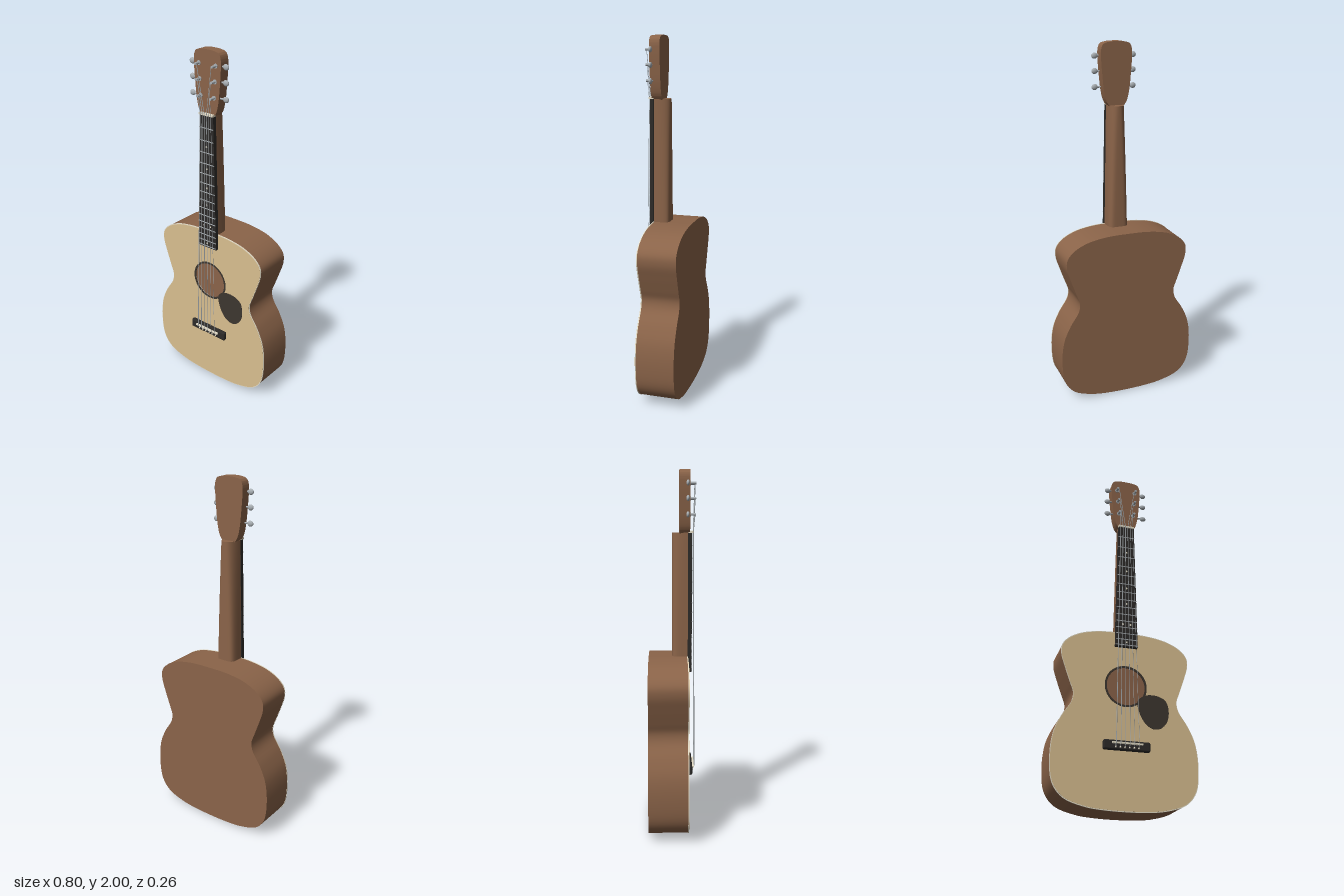
import * as THREE from 'three';
import { toCreasedNormals } from 'three/addons/utils/BufferGeometryUtils.js';
import { RoundedBoxGeometry } from 'three/addons/geometries/RoundedBoxGeometry.js';
import { ParametricGeometry } from 'three/addons/geometries/ParametricGeometry.js';

const mat = (name, color, side = THREE.FrontSide) =>
  Object.assign(new THREE.MeshStandardMaterial({ color, side }), { name });

// Smooth shape through a few [x, y] points
function smoothShape(points, closed, divisions) {
  const curve = new THREE.CatmullRomCurve3(points.map(([x, y]) => new THREE.Vector3(x, y, 0)), closed);
  const pts = curve.getPoints(divisions).map((p) => new THREE.Vector2(p.x, p.y));
  if (closed) pts.pop();
  return new THREE.Shape(pts);
}

// Flat-faced slab from z0 to z1 with smoothly shaded sides
function slab(shape, z0, z1) {
  const g = new THREE.ExtrudeGeometry(shape, { depth: z1 - z0, bevelEnabled: false, curveSegments: 32 });
  return toCreasedNormals(g.translate(0, 0, z0), 0.6);
}

export function createModel() {
  const guitar = new THREE.Group();
  guitar.name = 'guitar';
  const wood = mat('brown wood', 0x8b6449);
  const spruce = mat('pale top wood', 0xd9bf90);
  const black = mat('dark wood', 0x2c2a28);
  const guard = mat('pickguard brown', 0x3d362f);
  const ivory = mat('ivory', 0xe6dec8);
  const steel = mat('steel', 0xaab0b4);

  const add = (name, geometry, material, x = 0, y = 0, z = 0) => {
    const mesh = new THREE.Mesh(geometry, material);
    mesh.name = name;
    mesh.position.set(x, y, z);
    guitar.add(mesh);
    return mesh;
  };

  // Body outline, right half from bottom to top, then mirrored
  const half = [[0.11, 0.003], [0.21, 0.014], [0.325, 0.053], [0.38, 0.12], [0.398, 0.24], [0.385, 0.38],
    [0.345, 0.475], [0.295, 0.555], [0.287, 0.605], [0.305, 0.66], [0.335, 0.745], [0.357, 0.82],
    [0.354, 0.872], [0.318, 0.917], [0.24, 0.957], [0.13, 0.978]];
  const outline = [[0, 0], ...half, [0, 0.982], ...half.slice().reverse().map(([x, y]) => [-x, y])];
  const holeY = 0.667;
  const bodyShape = (scale, hole) => {
    const pts = outline.map(([x, y]) => [x * scale, (y - 0.49) * scale + 0.49]);
    const shape = smoothShape(pts, true, 160);
    if (hole) shape.holes.push(new THREE.Path().absarc(0, holeY, 0.108, 0, Math.PI * 2, true));
    return shape;
  };
  add('body', slab(bodyShape(0.996), -0.13, 0.084), wood);
  add('binding', slab(bodyShape(1, true), 0.084, 0.089), ivory);
  add('soundboard', slab(bodyShape(0.991, true), 0.088, 0.0905), spruce);

  // Rosette around the sound hole
  const ring = new THREE.Shape().absarc(0, holeY, 0.117, 0, Math.PI * 2);
  ring.holes.push(new THREE.Path().absarc(0, holeY, 0.106, 0, Math.PI * 2, true));
  add('rosette', slab(ring, 0.088, 0.092), guard);

  // Pickguard
  const guardPoints = [[0.066, 0.59], [0.106, 0.624], [0.17, 0.629], [0.222, 0.605], [0.239, 0.545],
    [0.226, 0.483], [0.19, 0.447], [0.148, 0.442], [0.106, 0.47], [0.075, 0.525]].reverse();
  add('pickguard', slab(smoothShape(guardPoints, true, 60), 0.089, 0.093), guard);

  // Bridge, saddle and pins
  add('bridge', new RoundedBoxGeometry(0.252, 0.052, 0.026, 3, 0.008), black, 0, 0.335, 0.102);
  add('saddle', new THREE.BoxGeometry(0.165, 0.009, 0.014), ivory, 0, 0.344, 0.119);

  // Neck: rounded back at the top, squarer towards the body
  const neckWidth = (t) => THREE.MathUtils.lerp(0.058, 0.045, t);
  const neckPoint = (u, t) => {
    const a = u * Math.PI, power = 2 / THREE.MathUtils.lerp(5, 2.4, t);
    const c = Math.cos(a), s = Math.max(0, Math.sin(a));
    return [Math.sign(c) * Math.abs(c) ** power * neckWidth(t), 0.092 - 0.09 * s ** power];
  };
  const neckTop = 1.663, neckBottom = 0.965;
  add('neck', new ParametricGeometry((u, v, target) => {
    const [x, z] = neckPoint(u, v);
    target.set(x, THREE.MathUtils.lerp(neckBottom, neckTop, v), z);
  }, 32, 12), wood);
  const section = Array.from({ length: 33 }, (_, i) => {
    const [x, z] = neckPoint(i / 32, 1);
    return new THREE.Vector2(x, -z);
  });
  add('neckEnd', new THREE.ShapeGeometry(new THREE.Shape(section)).rotateX(-Math.PI / 2), wood, 0, neckTop, 0);

  // Fretboard with frets, dots and nut
  const boardBottom = 0.892, boardTop = 1.662;
  const boardWidth = (y) => THREE.MathUtils.mapLinear(y, boardBottom, boardTop, 0.063, 0.046);
  const board = new THREE.Shape([[-0.063, boardBottom], [0.063, boardBottom], [0.046, boardTop], [-0.046, boardTop]]
    .map(([x, y]) => new THREE.Vector2(x, y)));
  add('fretboard', slab(board, 0.088, 0.11), black);
  const saddleY = 0.345, nutY = 1.667;
  const fretY = (n) => saddleY + (nutY - saddleY) * 2 ** (-n / 12);
  for (let n = 1; n <= 15; n++) {
    add('fret', new THREE.BoxGeometry(boardWidth(fretY(n)) * 2, 0.004, 0.004), steel, 0, fretY(n), 0.111);
  }
  const dot = new THREE.CylinderGeometry(0.0055, 0.0055, 0.002, 16).rotateX(Math.PI / 2);
  for (const [n, x] of [[3, 0], [5, 0], [7, 0], [9, 0], [12, -0.022], [12, 0.022], [15, 0]]) {
    add('inlayDot', dot, ivory, x, (fretY(n) + fretY(n - 1)) / 2, 0.1102);
  }
  add('nut', new THREE.BoxGeometry(0.094, 0.011, 0.026), ivory, 0, nutY, 0.103);

  // Headstock
  const headSide = [[0.04, 1.657], [0.058, 1.685], [0.072, 1.74], [0.081, 1.82], [0.088, 1.92], [0.086, 1.965], [0.074, 1.988], [0.04, 1.998]];
  const head = smoothShape([...headSide, [0, 2], ...headSide.slice().reverse().map(([x, y]) => [-x, y])], false, 90);
  add('headstock', slab(head, 0.041, 0.099), wood);

  // Tuners on both sides: post, shaft and knob
  const post = new THREE.CylinderGeometry(0.007, 0.007, 0.035, 14).rotateX(Math.PI / 2);
  const collar = new THREE.CylinderGeometry(0.012, 0.012, 0.004, 16).rotateX(Math.PI / 2);
  const shaft = new THREE.CylinderGeometry(0.005, 0.005, 0.05, 10).rotateZ(Math.PI / 2);
  const knob = new THREE.SphereGeometry(1, 20, 14).scale(0.018, 0.016, 0.009);
  const tunerRows = [[1.76, 0.044], [1.845, 0.05], [1.925, 0.055]];
  for (const side of [-1, 1]) {
    for (const [y, x] of tunerRows) {
      add('tunerPost', post, steel, side * x, y, 0.113);
      add('tunerCollar', collar, steel, side * x, y, 0.1);
      add('tunerShaft', shaft, steel, side * 0.085, y, 0.085);
      add('tunerKnob', knob, steel, side * 0.11, y, 0.085);
    }
  }

  // Strings: pin, saddle, nut, tuner post
  const pin = new THREE.SphereGeometry(0.005, 12, 8);
  for (let i = 0; i < 6; i++) {
    const f = (i - 2.5) / 2.5, side = Math.sign(f);
    const [postY, postX] = tunerRows[i < 3 ? i : 5 - i];
    const path = new THREE.CurvePath();
    const stops = [[f * 0.062, 0.324, 0.115], [f * 0.062, saddleY, 0.127], [f * 0.036, nutY, 0.117],
      [side * (postX - 0.007), postY, 0.126]].map((p) => new THREE.Vector3(...p));
    for (let k = 0; k < 3; k++) path.add(new THREE.LineCurve3(stops[k], stops[k + 1]));
    const radius = 0.0022 - i * 0.0002;
    path.curves.forEach((line) => add('string', new THREE.TubeGeometry(line, 1, radius, 6), steel));
    add('bridgePin', pin, ivory, f * 0.062, 0.323, 0.116);
  }
  return guitar;
}
